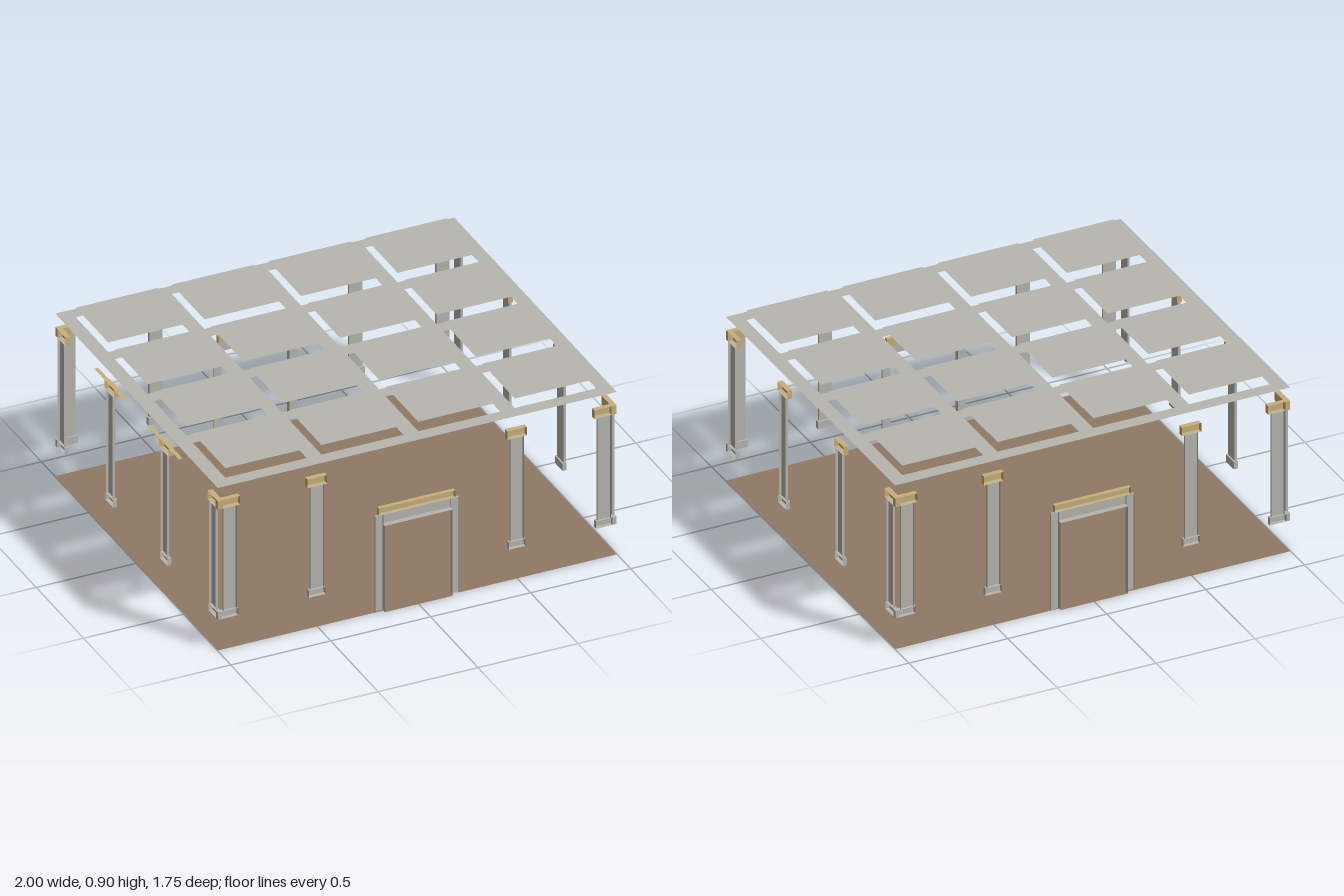
import * as THREE from 'three';

const HX = 0.998, HZ = 0.858;      // half width and half depth of the hall
const CEILING = 0.853, COFFER = 0.903;

const mat = (name, color) =>
  new THREE.MeshStandardMaterial({ name, color, side: THREE.DoubleSide });

export function createModel() {
  const stone = mat('grey stone', 0xb8b6b0);
  const gold = mat('tan trim', 0xc8b07a);
  const earth = mat('brown floor', 0x8f7965);
  const model = new THREE.Group();
  model.name = 'pillaredHall';

  const add = (parent, name, geometry, material, x = 0, y = 0, z = 0) => {
    const mesh = new THREE.Mesh(geometry, material);
    mesh.name = name;
    mesh.position.set(x, y, z);
    parent.add(mesh);
    return mesh;
  };

  // Hollow block standing on the wall plane z = 0, open at the back
  const block = (parent, name, material, x0, x1, y0, y1, depth) => {
    const g = new THREE.BoxGeometry(x1 - x0, y1 - y0, depth);
    g.setIndex(Array.from(g.index.array).slice(0, 30));
    return add(parent, name, g, material, (x0 + x1) / 2, (y0 + y1) / 2, depth / 2);
  };

  // Flat horizontal sheet
  const sheet = (parent, name, material, x0, x1, z0, z1, y) =>
    add(parent, name, new THREE.PlaneGeometry(x1 - x0, z1 - z0).rotateX(-Math.PI / 2),
      material, (x0 + x1) / 2, y, (z0 + z1) / 2);

  // Pilaster with base and capital
  const pilaster = (parent, x, baseSpan, capSpan) => {
    const p = new THREE.Group();
    p.name = 'pilaster';
    block(p, 'pilasterBase', stone, ...baseSpan, 0.16, 0.198, 0.02);
    block(p, 'pilasterShaft', stone, x - 0.033, x + 0.033, 0.198, 0.738, 0.012);
    block(p, 'pilasterCapital', gold, ...capSpan, 0.738, 0.783, 0.025);
    parent.add(p);
  };

  // Doorway: casing on the wall, cornice above, lining through the wall
  const doorway = (parent) => {
    const d = new THREE.Group();
    d.name = 'doorway';
    for (const s of [-1, 1]) {
      block(d, 'doorPost', stone, s * 0.19 - 0.02, s * 0.19 + 0.02, 0, 0.503, 0.01);
      const side = new THREE.PlaneGeometry(0.016, 0.453).rotateY(Math.PI / 2);
      add(d, 'doorLining', side, stone, s * 0.17, 0.2265, -0.008);
    }
    block(d, 'doorLintel', stone, -0.17, 0.17, 0.453, 0.503, 0.01);
    block(d, 'doorCornice', gold, -0.192, 0.192, 0.503, 0.54, 0.02);
    sheet(d, 'doorLiningTop', stone, -0.17, 0.17, -0.016, 0, 0.453);
    sheet(d, 'threshold', earth, -0.17, 0.17, -0.016, 0, 0);
    parent.add(d);
  };

  // One wall's worth of pilasters, facing into the hall
  const wall = (name, half, mid, corner, angle, x, z) => {
    const w = new THREE.Group();
    w.name = name;
    w.position.set(x, 0, z);
    w.rotation.y = angle;
    for (const s of [-1, 1]) {
      const span = (a, b) => (s > 0 ? [a, b] : [-b, -a]);
      pilaster(w, s * mid, span(mid - 0.041, mid + 0.041), span(mid - 0.049, mid + 0.049));
      pilaster(w, s * corner, span(corner - 0.041, half), span(corner - 0.05, half));
    }
    model.add(w);
    return w;
  };

  doorway(wall('backWall', HX, 0.5, 0.936, 0, 0, -HZ));
  doorway(wall('frontWall', HX, 0.5, 0.936, Math.PI, 0, HZ));
  const sideA = wall('rightWall', HZ, 0.287, 0.8, Math.PI / 2, -HX, 0);
  wall('leftWall', HZ, 0.287, 0.8, -Math.PI / 2, HX, 0);

  // Thin ledges on the capitals of one side
  for (const s of [-1, 1])
    sheet(sideA, 'capitalLedge', gold, s * 0.287 - 0.16, s * 0.287 + 0.16, 0, 0.02, 0.783);

  // Floor
  sheet(model, 'floor', earth, -HX, HX, -HZ, HZ, 0);

  // Ceiling grid with raised panels over its openings
  const rect = (Kind, x0, x1, z0, z1) => {
    const p = new Kind();
    p.moveTo(x0, z0);
    p.lineTo(x1, z0);
    p.lineTo(x1, z1);
    p.lineTo(x0, z1);
    p.closePath();
    return p;
  };
  const grid = rect(THREE.Shape, -HX, HX, -HZ, HZ);
  const xs = [[-0.928, -0.52], [-0.447, -0.037], [0.037, 0.447], [0.52, 0.928]];
  const zs = [[-0.79, -0.447], [-0.377, -0.035], [0.035, 0.377], [0.447, 0.79]];
  for (const [x0, x1] of xs)
    for (const [z0, z1] of zs) {
      grid.holes.push(rect(THREE.Path, x0, x1, z0, z1));
      sheet(model, 'ceilingPanel', stone, x0, x1, z0, z1, COFFER);
    }
  add(model, 'ceilingGrid', new THREE.ShapeGeometry(grid).rotateX(-Math.PI / 2), stone, 0, CEILING, 0);

  return model;
}
